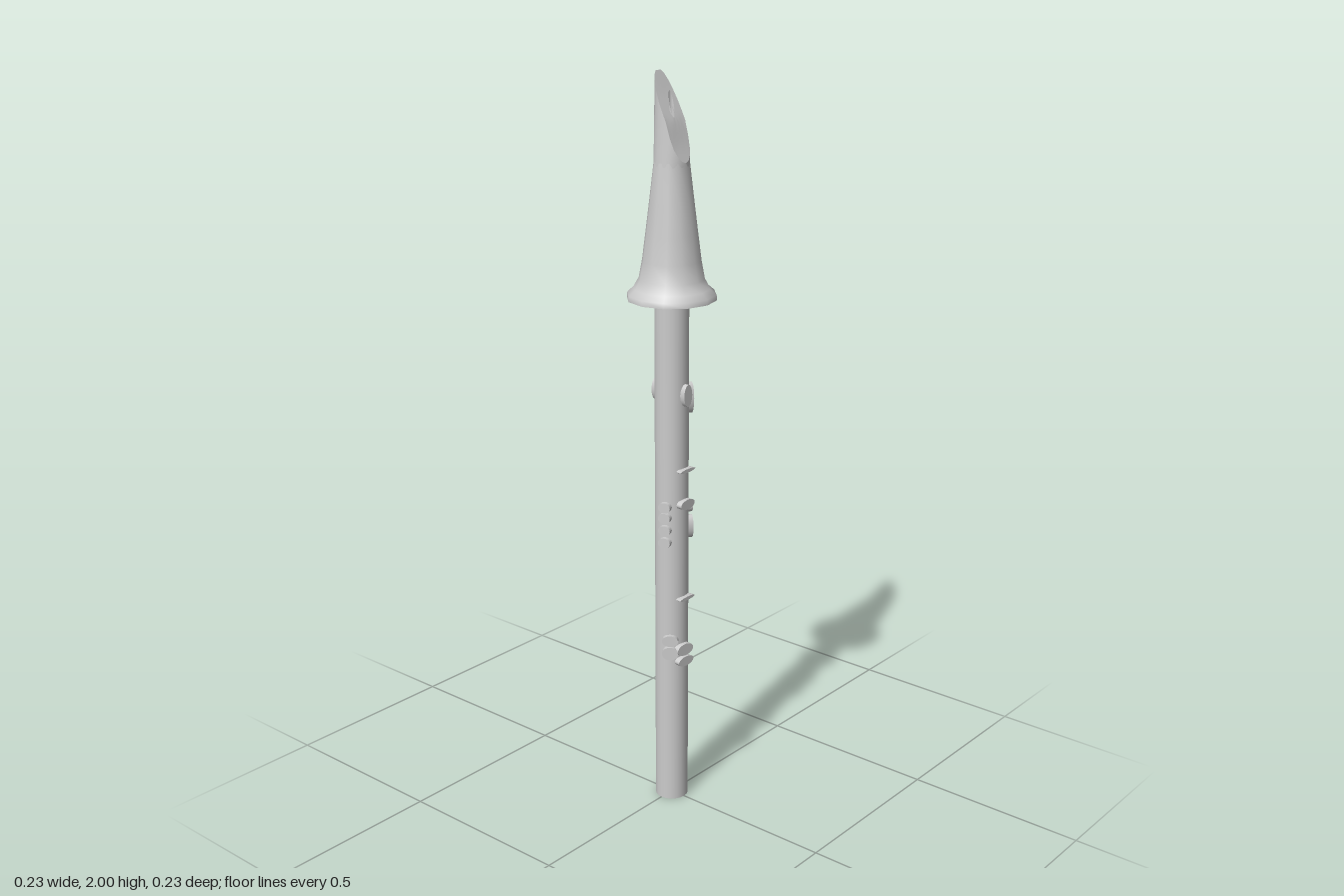
import * as THREE from 'three';
import { toCreasedNormals } from 'three/addons/utils/BufferGeometryUtils.js';

const material = new THREE.MeshStandardMaterial({ color: 0xcccccc, side: THREE.DoubleSide });
const NECK = 0.046;

// Height of the slanted beak cut at depth z (interpolated between stations)
const cutLine = [[-0.044, 2], [-0.02, 1.945], [0.012, 1.88], [0.03, 1.82], [0.046, 1.78]];
function cutHeight(z) {
  if (z <= cutLine[0][0]) return 2;
  for (let i = 1; i < cutLine.length; i++) {
    const [z0, y0] = cutLine[i - 1], [z1, y1] = cutLine[i];
    if (z <= z1) return y0 + (y1 - y0) * (z - z0) / (z1 - z0);
  }
  return 1.78;
}

// Raise the vertices above minY onto the cut, narrowing them towards the tip
function shapeToCut(geometry, minY) {
  const p = geometry.attributes.position;
  for (let i = 0; i < p.count; i++) {
    if (p.getY(i) < minY) continue;
    const z = Math.max(p.getZ(i), -0.044);
    const y = cutHeight(z);
    const narrow = 1 - 0.2 * Math.min(1, (y - 1.78) / 0.12);
    p.setXYZ(i, p.getX(i) * narrow, y, z);
  }
  geometry.computeVertexNormals();
  return geometry;
}

export function createModel() {
  const model = new THREE.Group();
  const add = (name, geometry, parent = model) => {
    const mesh = new THREE.Mesh(geometry, material);
    mesh.name = name;
    parent.add(mesh);
    return mesh;
  };

  // Hollow pipe
  add('pipe', new THREE.CylinderGeometry(0.045, 0.045, 1.5, 24, 1, true).translate(0, 0.75, 0));

  // Flared cap with a hollow underside
  const profile = [
    [0.065, 1.55], [0.08, 1.48], [0.102, 1.43], [0.117, 1.43], [0.116, 1.444], [0.1, 1.458],
    [0.086, 1.483], [0.077, 1.53], [0.068, 1.6], [0.058, 1.68], [NECK, 1.78],
  ].map(([r, y]) => new THREE.Vector2(r, y));
  add('cap', toCreasedNormals(new THREE.LatheGeometry(profile, 12), 0.9));

  // Beak: side wall cut at a slant, and the sloping face around the bore
  const wall = new THREE.CylinderGeometry(NECK, NECK, 0.1, 24, 1, true).translate(0, 1.82, 0);
  add('beakWall', shapeToCut(wall, 1.8));
  const slope = new THREE.RingGeometry(0.008, NECK, 24, 6).rotateX(-Math.PI / 2);
  add('beakSlope', shapeToCut(slope, -1));

  // Narrow bore, rising a little out of the slope
  const bore = new THREE.CylinderGeometry(0.008, 0.008, 0.2, 12, 1, true).translate(0, 1.78, 0);
  const bp = bore.attributes.position;
  for (let i = 0; i < bp.count; i++) {
    if (bp.getY(i) > 1.8) bp.setY(i, 1.918 - bp.getZ(i) * 4.5);
  }
  bore.computeVertexNormals();
  add('bore', bore);

  // Thin oval pads standing on the pipe: [degrees round from front, y, width, height]
  const pads = {
    upperHole: [[0, 1.18, 0.032, 0.06]],
    thumbHole: [[180, 1.18, 0.032, 0.06]],
    upperKey: [[62, 1.16, 0.036, 0.085]],
    slimPads: [[0, 0.975, 0.06, 0.01], [0, 0.61, 0.06, 0.01]],
    middleHole: [[0, 0.88, 0.056, 0.028]],
    leftKeys: [[58, 0.8, 0.034, 0.065], [94, 0.8, 0.032, 0.065], [66, 0.855, 0.03, 0.032], [92, 0.855, 0.03, 0.032]],
    rightKeys: [0.775, 0.81, 0.845, 0.875].map((y) => [-72, y, 0.034, 0.029]),
    lowerKeys: [[-8, 0.46, 0.056, 0.034], [-5, 0.425, 0.056, 0.028], [-55, 0.49, 0.044, 0.032], [-55, 0.453, 0.044, 0.038]],
  };
  for (const [name, list] of Object.entries(pads)) {
    const group = new THREE.Group();
    group.name = name;
    model.add(group);
    for (const [degrees, y, width, height] of list) {
      const a = THREE.MathUtils.degToRad(degrees);
      const oval = new THREE.CylinderGeometry(0.5, 0.5, 0.016, 20)
        .rotateX(Math.PI / 2).scale(width, height, 1);
      const pad = add('pad', oval, group);
      pad.position.set(0.048 * Math.sin(a), y, 0.048 * Math.cos(a));
      pad.rotation.y = a;
    }
  }
  return model;
}
